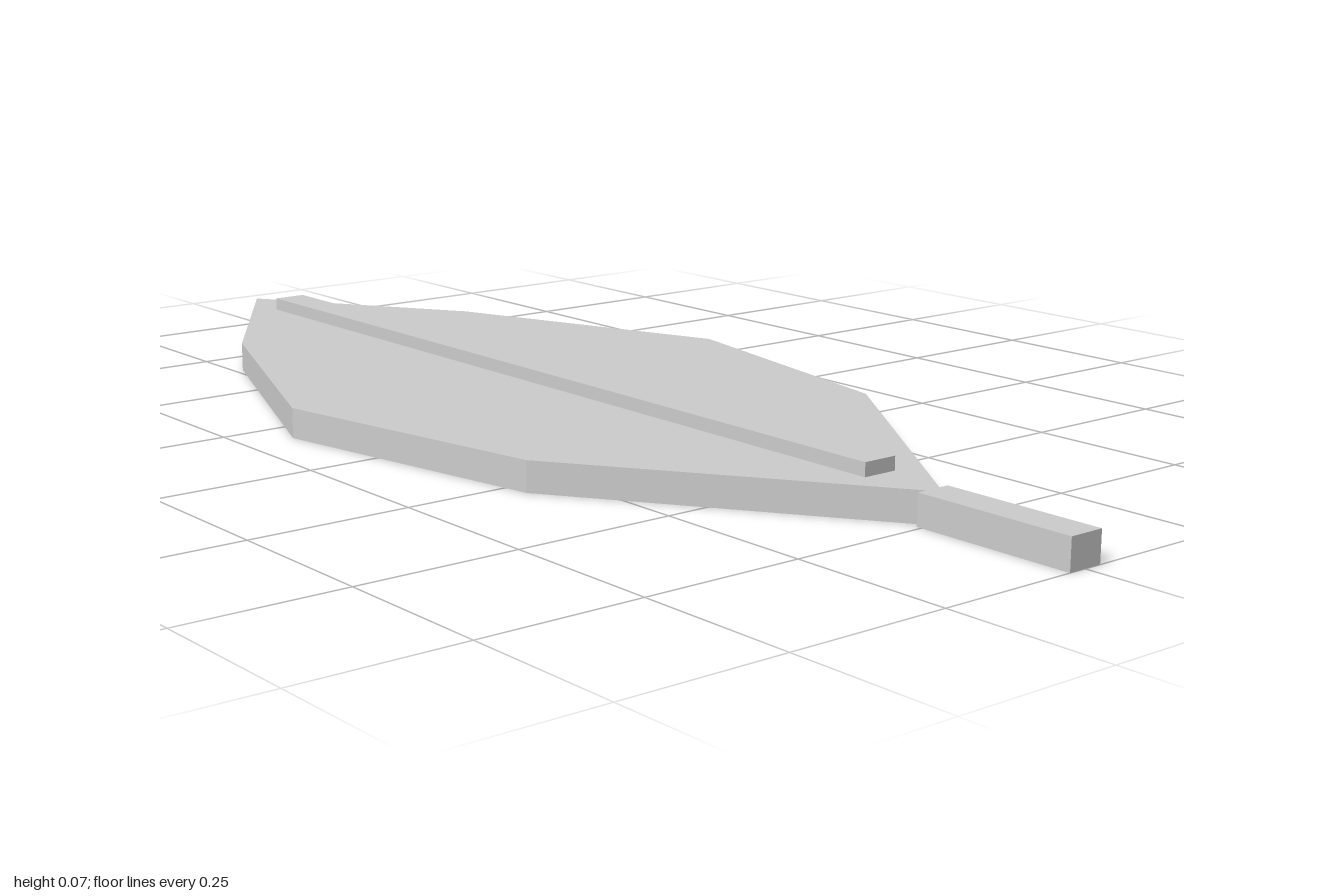
import * as THREE from 'three';

export function createModel() {
  const group = new THREE.Group();
  const grey = new THREE.MeshStandardMaterial({ color: 0xcccccc });
  grey.name = 'light grey';

  const thickness = 0.047;

  // Leaf outline: half widths along z, mirrored across x
  const half = [[0.235, -0.65], [0.42, -0.18], [0.33, 0.29]];
  const outline = [
    [0, -1], ...half, [0, 0.76],
    ...half.map(([x, z]) => [-x, z]).reverse(),
  ].map(([x, z]) => new THREE.Vector2(x, -z));

  // Flat blade, extruded upwards
  const bladeGeometry = new THREE.ExtrudeGeometry(new THREE.Shape(outline), {
    depth: thickness, bevelEnabled: false,
  });
  bladeGeometry.rotateX(-Math.PI / 2);
  const blade = new THREE.Mesh(bladeGeometry, grey);
  blade.name = 'leafBlade';
  group.add(blade);

  // Square bar running along z
  function bar(name, y0, y1, z0, z1) {
    const mesh = new THREE.Mesh(new THREE.BoxGeometry(0.057, y1 - y0, z1 - z0), grey);
    mesh.position.set(0, (y0 + y1) / 2, (z0 + z1) / 2);
    mesh.name = name;
    group.add(mesh);
  }
  bar('midrib', thickness, 0.068, -0.88, 0.645);
  bar('stem', 0, thickness, 0.742, 1);

  return group;
}
